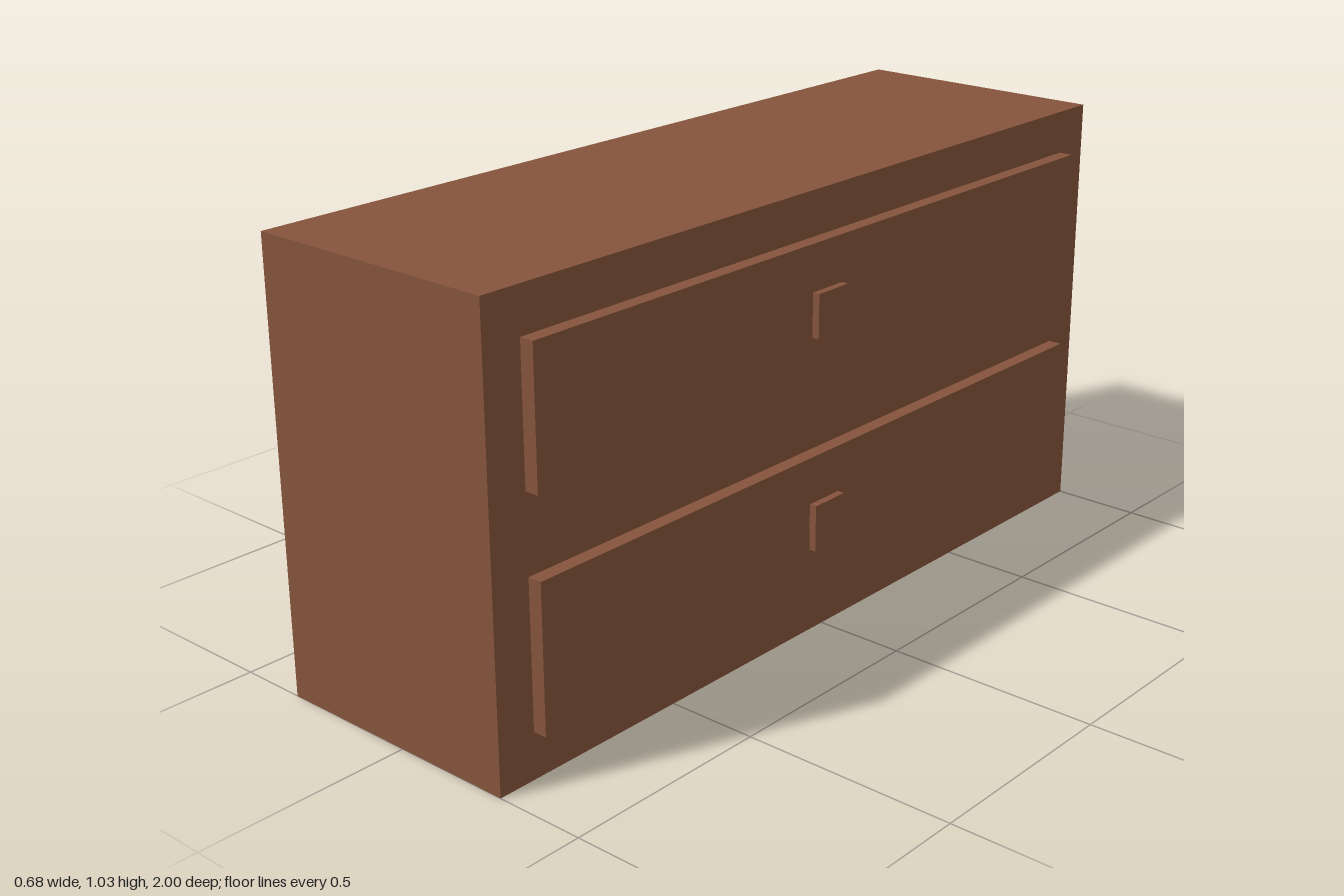
import * as THREE from 'three';

const wood = new THREE.MeshStandardMaterial({ color: 0x85543b });
wood.name = 'brown wood';

// Box given by its lower and upper limits on each axis
function block(name, [x0, x1], [y0, y1], [z0, z1]) {
  const mesh = new THREE.Mesh(new THREE.BoxGeometry(x1 - x0, y1 - y0, z1 - z0), wood);
  mesh.position.set((x0 + x1) / 2, (y0 + y1) / 2, (z0 + z1) / 2);
  mesh.name = name;
  return mesh;
}

export function createModel() {
  const dresser = new THREE.Group();
  dresser.name = 'dresser';

  // Main cabinet
  dresser.add(block('cabinet', [-0.338, 0.288], [0, 1.027], [-1, 1]));

  // Two drawers on the +x face, each with a square knob slightly off centre
  const drawers = [
    { name: 'lowerDrawer', y: [0.106, 0.441], knobY: [0.224, 0.332] },
    { name: 'upperDrawer', y: [0.619, 0.925], knobY: [0.717, 0.818] },
  ];
  for (const { name, y, knobY } of drawers) {
    const drawer = new THREE.Group();
    drawer.name = name;
    drawer.add(
      block('drawerFront', [0.288, 0.321], y, [-0.905, 0.905]),
      block('knob', [0.321, 0.338], knobY, [-0.008, 0.09]),
    );
    dresser.add(drawer);
  }
  return dresser;
}
